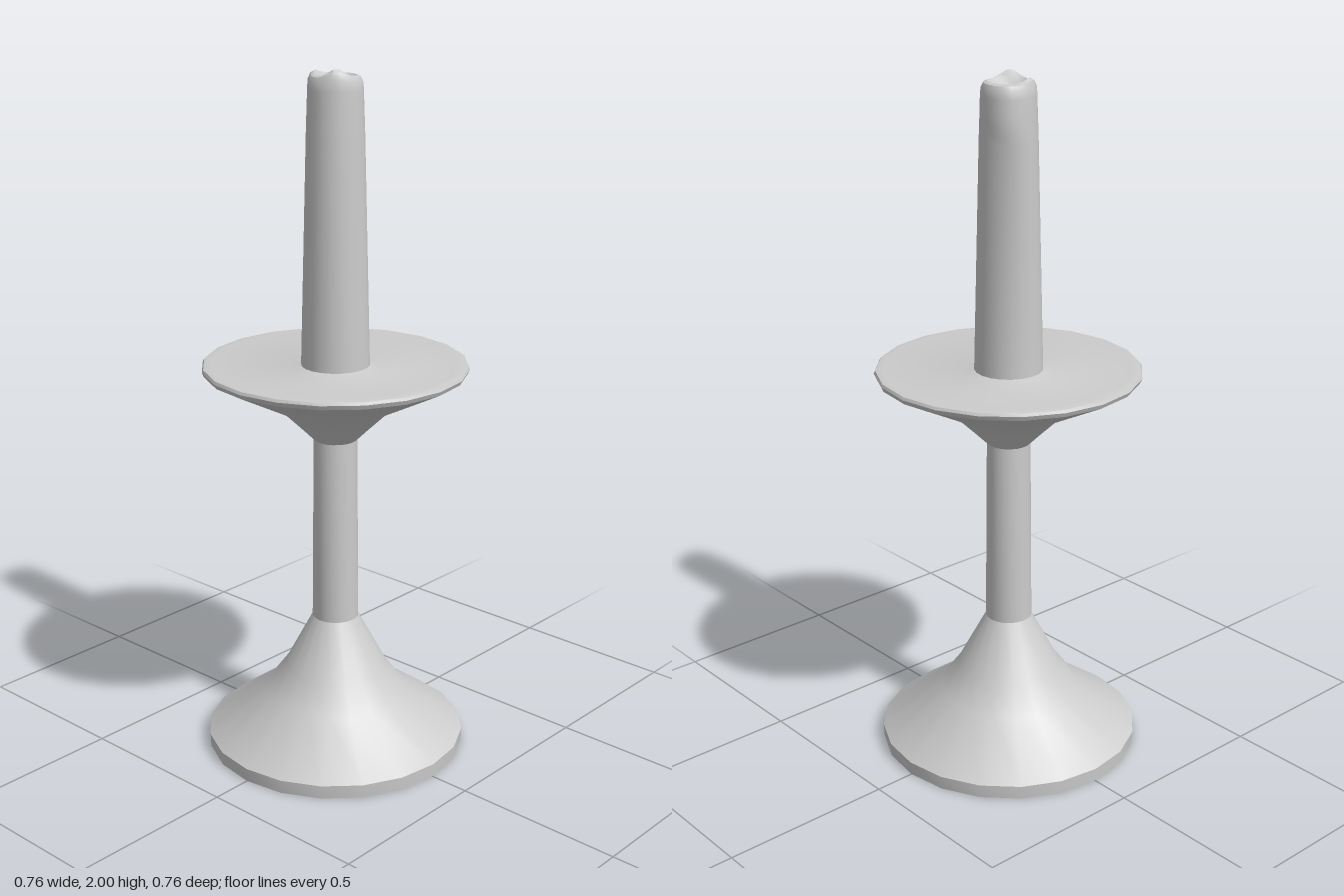
import * as THREE from 'three';
import { toCreasedNormals } from 'three/addons/utils/BufferGeometryUtils.js';

const SIDES = 20;
const material = new THREE.MeshStandardMaterial({ color: 0xcccccc });

// Turned shape from a [radius, height] profile, optionally reshaped by a rule
function turned(name, profile, reshape) {
  const points = profile.map(([r, y]) => new THREE.Vector2(r, y));
  const geometry = new THREE.LatheGeometry(points, SIDES);
  if (reshape) {
    const pos = geometry.attributes.position;
    const v = new THREE.Vector3();
    for (let i = 0; i < pos.count; i++) {
      reshape(v.fromBufferAttribute(pos, i));
      pos.setXYZ(i, v.x, v.y, v.z);
    }
  }
  const mesh = new THREE.Mesh(toCreasedNormals(geometry, 0.62), material);
  mesh.name = name;
  return mesh;
}

// Smooth bump, 1 at the middle of the range and fading with distance
const bump = (d, width) => Math.exp(-((d / width) ** 2));

// Angle between a point's direction and a heading around the candle
function angleFrom(v, heading) {
  const d = Math.atan2(v.z, v.x) - heading;
  return Math.atan2(Math.sin(d), Math.cos(d));
}

// Wavy melted lip plus a wax run on one side
function melt(v) {
  const r = Math.hypot(v.x, v.z);
  if (r < 0.001) return;
  const run = bump(angleFrom(v, -Math.PI * 0.75), 0.6);
  const lip = bump(r - 0.058, 0.02) * THREE.MathUtils.smoothstep(v.y, 1.93, 1.97);
  if (r > 0.06 && v.y > 1.84) {
    const swell = 1 + (0.009 * run) / r;
    v.x *= swell;
    v.z *= swell;
  }
  v.y += lip * (0.022 * bump(angleFrom(v, Math.PI / 4), 0.5)
    + 0.012 * bump(angleFrom(v, Math.PI * 0.85), 0.5));
}

export function createModel() {
  const group = new THREE.Group();
  group.name = 'candlestick';

  // Flared foot
  group.add(turned('foot', [
    [0, 0], [0.38, 0], [0.382, 0.04], [0.21, 0.165], [0.15, 0.245], [0.068, 0.4],
  ]));

  // Slender stem
  group.add(turned('stem', [[0.068, 0.4], [0.063, 0.95]]));

  // Drip pan with a bevelled rim and a low collar around the candle
  group.add(turned('dripPan', [
    [0.063, 0.95], [0.098, 0.985], [0.16, 1.045], [0.374, 1.155], [0.38, 1.168],
    [0.376, 1.176], [0.352, 1.18], [0.132, 1.157], [0.097, 1.172], [0, 1.172],
  ]));

  // Tapered candle with a melted hollow top
  group.add(turned('candle', [
    [0.098, 1.165], [0.081, 1.82], [0.08, 1.85], [0.078, 1.9], [0.077, 1.94],
    [0.075, 1.962], [0.068, 1.975], [0.058, 1.978], [0.046, 1.97], [0.03, 1.958], [0, 1.953],
  ], melt));

  return group;
}
